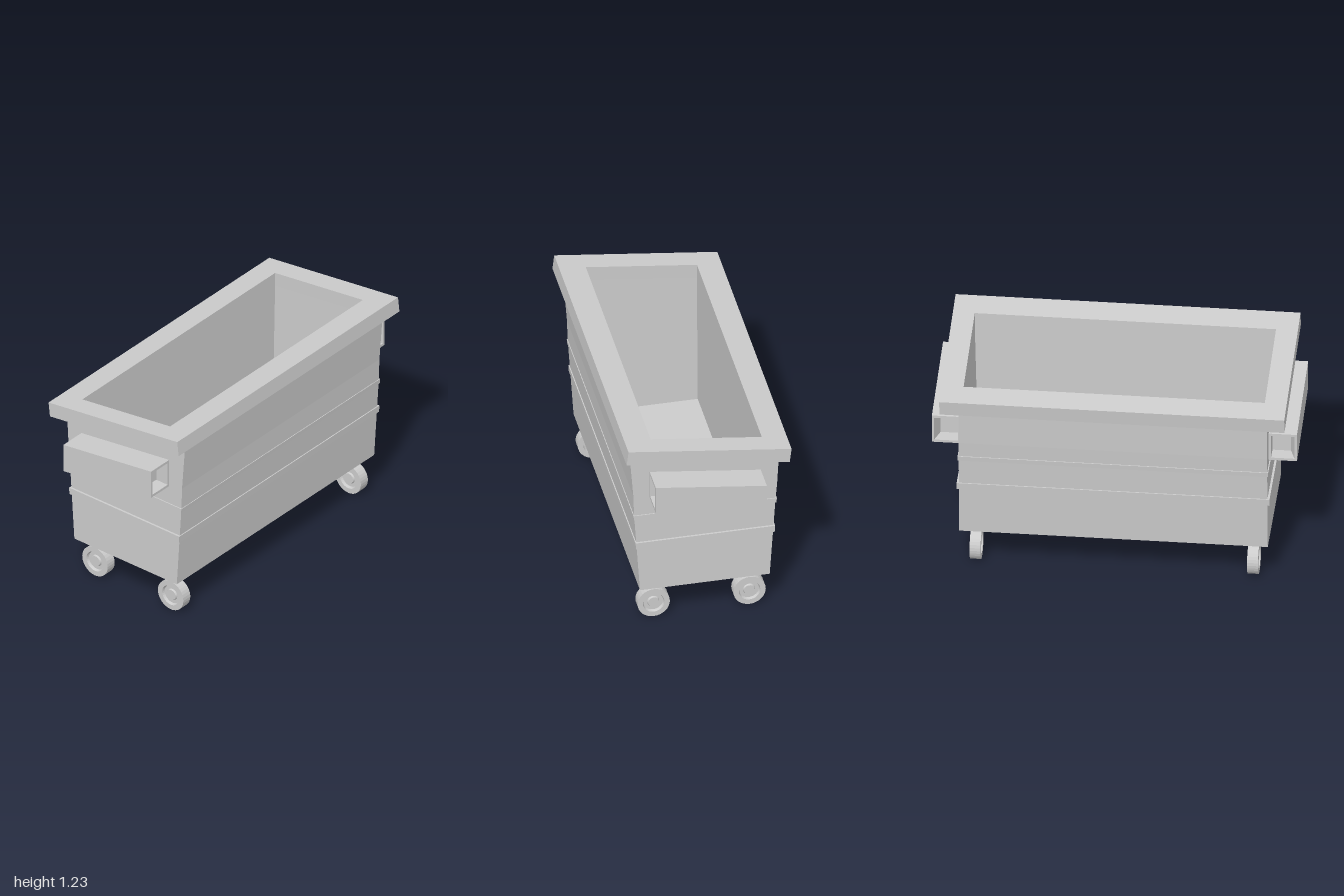
import * as THREE from 'three';

const material = new THREE.MeshStandardMaterial({ color: 0xcccccc, flatShading: true });
const smooth = new THREE.MeshStandardMaterial({ color: 0xcccccc });

// Skin four-cornered rings in order; optionally cap both ends.
function loft(rings, capped) {
  const pos = [];
  const quad = (a, b, c, d) => pos.push(...a, ...b, ...c, ...a, ...c, ...d);
  for (let i = 0; i < rings.length - 1; i++) {
    for (let j = 0; j < 4; j++) {
      const k = (j + 1) % 4;
      quad(rings[i][j], rings[i][k], rings[i + 1][k], rings[i + 1][j]);
    }
  }
  if (capped) {
    quad(...[...rings[0]].reverse());
    quad(...rings[rings.length - 1]);
  }
  const geo = new THREE.BufferGeometry();
  geo.setAttribute('position', new THREE.Float32BufferAttribute(pos, 3));
  geo.computeVertexNormals();
  return geo;
}

// Ring round the bin: half width, front z and y, back z and y.
const around = (x, zf, yf, zb, yb) => [[-x, yf, zf], [x, yf, zf], [x, yb, zb], [-x, yb, zb]];

// Upright ring at depth z.
const upright = (x0, x1, y0, y1, z) => [[x0, y0, z], [x1, y0, z], [x1, y1, z], [x0, y1, z]];

function add(parent, name, geo, mat = material) {
  const mesh = new THREE.Mesh(geo, mat);
  mesh.name = name;
  parent.add(mesh);
  return mesh;
}

// Lifting sleeve on one side: slanted bar with a recess in each end.
function sleeve(side) {
  const ring = (a, b, y0, y1, z) =>
    upright(Math.min(a * side, b * side), Math.max(a * side, b * side), y0, y1, z);
  const depth = 0.08;
  return loft([
    ring(0.858, 0.96, 0.775, 0.915, -0.31 + depth),
    ring(0.858, 0.987, 0.775, 0.915, -0.31),
    ring(0.84, 1, 0.76, 0.93, -0.31),
    ring(0.84, 1, 0.84, 1.01, 0.31),
    ring(0.858, 0.987, 0.855, 0.995, 0.31),
    ring(0.858, 0.96, 0.855, 0.995, 0.31 - depth),
  ], true);
}

// Wheel with a grooved hub on both faces, turned about the x axis.
function wheelGeometry() {
  const half = [[0, 0.024], [0.03, 0.024], [0.034, 0.014], [0.055, 0.014], [0.06, 0.03], [0.09, 0.03]];
  const profile = [
    ...half.map(([r, h]) => [r, -h]),
    ...[...half].reverse(),
  ].map(([r, h]) => new THREE.Vector2(r, h));
  return new THREE.LatheGeometry(profile, 32).rotateZ(Math.PI / 2);
}

export function createModel() {
  const bin = new THREE.Group();
  bin.name = 'wheeledBin';

  // Hollow body: outside going up, then inside down to the floor
  add(bin, 'body', loft([
    around(0.845, 0.364, 0.225, -0.36, 0.225),
    around(0.845, 0.397, 0.73, -0.393, 0.73),
    around(0.845, 0.401, 0.86, -0.401, 0.82),
    around(0.845, 0.423, 1.145, -0.413, 1.04),
    around(0.825, 0.30, 1.13, -0.32, 1.05),
    around(0.805, 0.30, 0.25, -0.32, 0.25),
  ], true));

  // Sloping rim round the opening
  const rim = [
    around(0.945, 0.46, 1.145, -0.45, 1.03),
    around(0.945, 0.45, 1.232, -0.46, 1.116),
    around(0.825, 0.30, 1.213, -0.32, 1.134),
    around(0.825, 0.30, 1.125, -0.32, 1.046),
  ];
  add(bin, 'rim', loft([...rim, rim[0]]));

  // Raised bands round the body
  for (const [name, x, y0, y1, front, back] of [
    ['lowerBand', 0.857, 0.51, 0.55, 0.391, -0.388],
    ['upperBand', 0.851, 0.702, 0.73, 0.401, -0.399],
  ]) {
    const band = [
      around(0.83, 0.35, y0, -0.35, y0),
      around(x, front - 0.002, y0, back + 0.003, y0),
      around(x, front, y1, back, y1),
      around(0.83, 0.35, y1, -0.35, y1),
    ];
    add(bin, name, loft(band));
  }

  // Lifting sleeves
  add(bin, 'leftSleeve', sleeve(1));
  add(bin, 'rightSleeve', sleeve(-1));

  // Wheels on short stems
  const wheelGeo = wheelGeometry();
  const flatWheel = wheelGeo.toNonIndexed();
  const stemGeo = new THREE.CylinderGeometry(0.022, 0.022, 0.06, 20);
  for (const x of [-0.76, 0.76]) {
    for (const z of [0.275, -0.26]) {
      const caster = new THREE.Group();
      caster.name = (z > 0 ? 'front' : 'back') + (x > 0 ? 'Left' : 'Right') + 'Caster';
      caster.position.set(x, 0, z);
      add(caster, 'wheel', flatWheel).position.y = 0.09;
      add(caster, 'stem', stemGeo, smooth).position.y = 0.2;
      bin.add(caster);
    }
  }
  return bin;
}
